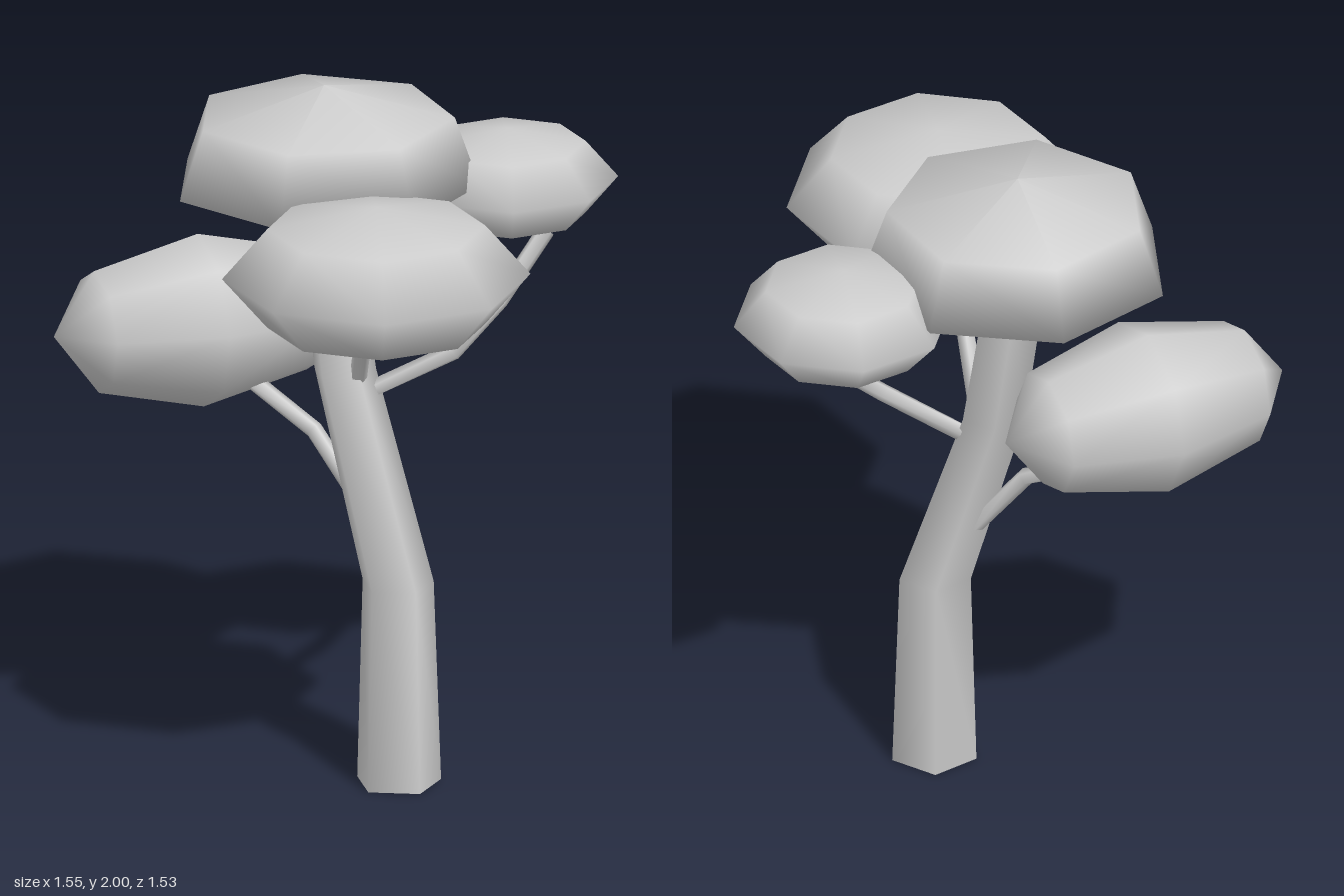
import * as THREE from 'three';

const UP = new THREE.Vector3(0, 1, 0);
const material = new THREE.MeshStandardMaterial({ color: 0xcccccc });

// Capped five-sided limb through stations [x, y, z, radius]; rings stay level or follow the path.
function limb(stations, level, sides = 5) {
  const centres = stations.map(([x, y, z]) => new THREE.Vector3(x, y, z));
  const positions = [], index = [];
  const last = stations.length - 1;
  const addRing = (i) => {
    const along = centres[Math.min(i + 1, last)].clone().sub(centres[Math.max(i - 1, 0)]).normalize();
    const turn = new THREE.Quaternion();
    if (!level) turn.setFromUnitVectors(UP, along);
    for (let j = 0; j < sides; j++) {
      const a = (j / sides) * Math.PI * 2;
      const p = new THREE.Vector3(Math.sin(a), 0, Math.cos(a)).multiplyScalar(stations[i][3]);
      positions.push(...p.applyQuaternion(turn).add(centres[i]).toArray());
    }
  };
  for (let i = 0; i <= last; i++) addRing(i);
  for (let i = 0; i < last; i++) {
    for (let j = 0; j < sides; j++) {
      const a = i * sides + j, b = i * sides + ((j + 1) % sides);
      index.push(a, b, a + sides, b, b + sides, a + sides);
    }
  }
  // End caps have their own corners so their edges stay sharp.
  for (const i of [0, last]) {
    const start = positions.length / 3;
    addRing(i);
    for (let j = 1; j < sides - 1; j++) {
      if (i === 0) index.push(start, start + j + 1, start + j);
      else index.push(start, start + j, start + j + 1);
    }
  }
  const geometry = new THREE.BufferGeometry();
  geometry.setAttribute('position', new THREE.Float32BufferAttribute(positions, 3));
  geometry.setIndex(index);
  geometry.computeVertexNormals();
  return geometry;
}

export function createModel() {
  const tree = new THREE.Group();
  tree.name = 'tree';
  const add = (name, geometry, x = 0, y = 0, z = 0) => {
    const mesh = new THREE.Mesh(geometry, material);
    mesh.name = name;
    mesh.position.set(x, y, z);
    tree.add(mesh);
    return mesh;
  };

  // Leaning trunk
  add('trunk', limb([
    [0.143, 0, 0.022, 0.125],
    [0.14, 0.59, 0.022, 0.106],
    [-0.06, 1.18, 0.022, 0.092],
    [-0.13, 1.6, 0.022, 0.088],
  ], true));

  // Thin branches
  const branches = {
    rightBranch: [[0, 0.8, 0.02], [-0.15, 0.99, 0.05], [-0.38, 1.1, 0.07]],
    leftBranch: [[0, 1.17, 0.03], [0.11, 1.35, 0.13], [0.27, 1.45, 0.25]],
    backBranch: [[0.01, 1.13, -0.04], [0.2, 1.25, -0.15], [0.25, 1.38, -0.29], [0.31, 1.57, -0.42]],
  };
  for (const [name, path] of Object.entries(branches)) {
    add(name, limb(path.map((p) => [...p, 0.026]), false));
  }

  // Seven-sided crown with a steep rim
  const profile = [[0, 1.545], [0.44, 1.71], [0.37, 1.91], [0, 2]].map(([r, y]) => new THREE.Vector2(r, y));
  add('topFoliage', new THREE.LatheGeometry(profile, 7).rotateY(Math.PI), -0.16, 0, -0.005);

  // Flattened eight-sided foliage
  const puff = () => new THREE.SphereGeometry(1, 8, 4);
  add('leftFoliage', puff().scale(0.436, 0.207, 0.436), 0.334, 1.625, 0.327);
  add('backFoliage', puff().scale(0.313, 0.15, 0.313), 0.13, 1.675, -0.457);

  // Long foliage lying on its side
  const side = add('rightFoliage', puff().rotateY(Math.PI / 8).scale(0.25, 0.44, 0.25), -0.475, 1.272, 0.165);
  side.quaternion.setFromUnitVectors(UP, new THREE.Vector3(-0.48, 0, 0.88).normalize());

  return tree;
}
